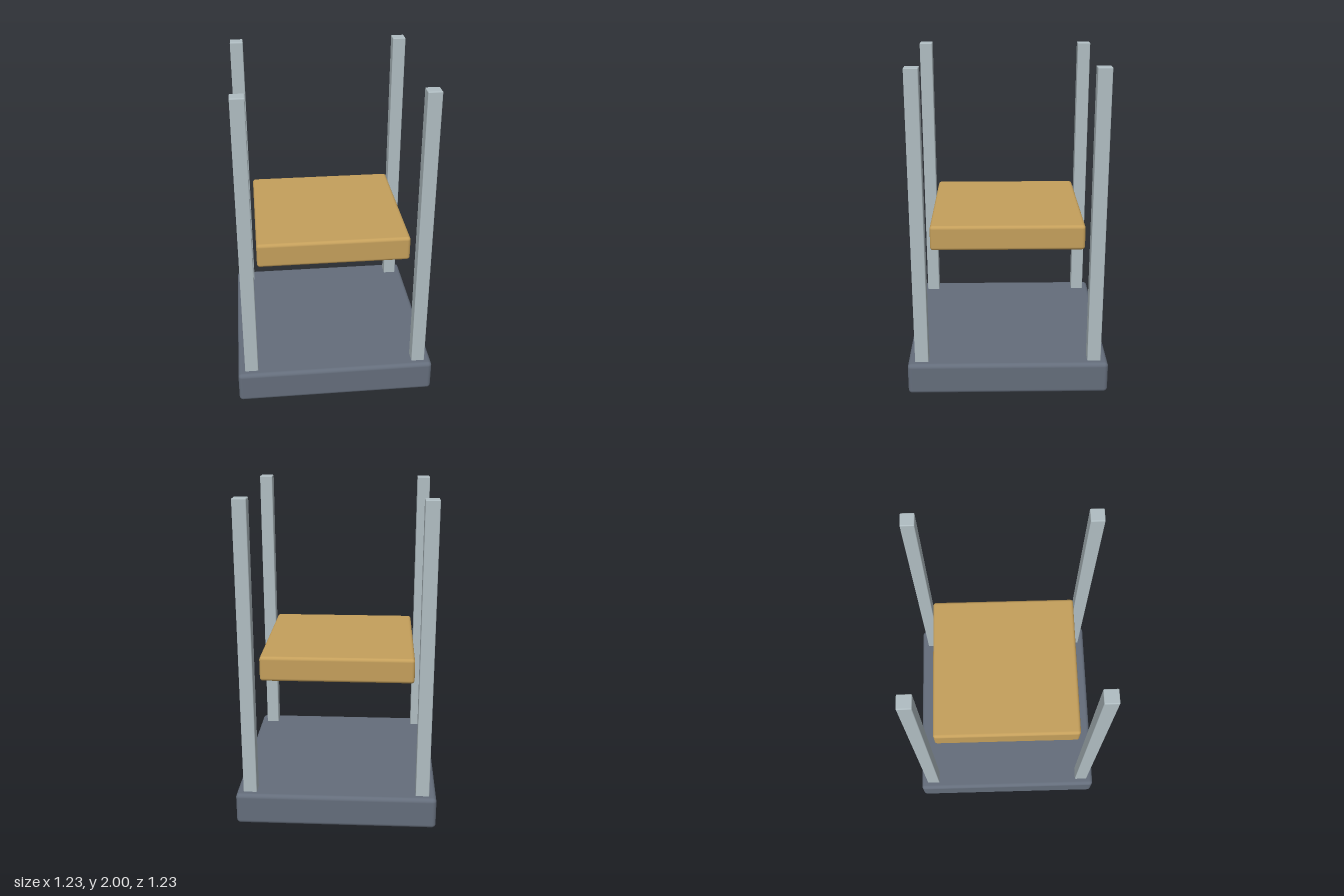
import * as THREE from 'three';
import { RoundedBoxGeometry } from 'three/addons/geometries/RoundedBoxGeometry.js';

export function createModel() {
  const group = new THREE.Group();
  const slate = new THREE.MeshStandardMaterial({ name: 'slate', color: 0x646d7b });
  const steel = new THREE.MeshStandardMaterial({ name: 'paleSteel', color: 0xb0bdc2 });
  const gold = new THREE.MeshStandardMaterial({ name: 'ochre', color: 0xc49f5b });

  // Softly rounded block standing on the height y0
  function block(name, material, width, y0, y1, radius, x = 0, z = 0) {
    const geometry = new RoundedBoxGeometry(width, y1 - y0, width, 4, radius);
    const mesh = new THREE.Mesh(geometry, material);
    mesh.name = name;
    mesh.position.set(x, (y0 + y1) / 2, z);
    group.add(mesh);
  }

  block('base', slate, 1.23, 0, 0.2, 0.025);
  block('platform', gold, 0.932, 0.89, 1.045, 0.02);

  // Four corner posts, sunk into the base
  for (const [side, x] of [['left', 0.53], ['right', -0.53]]) {
    for (const [end, z] of [['Front', 0.53], ['Back', -0.53]]) {
      block(`${side}${end}Post`, steel, 0.083, 0.01, 2, 0.006, x, z);
    }
  }
  return group;
}
